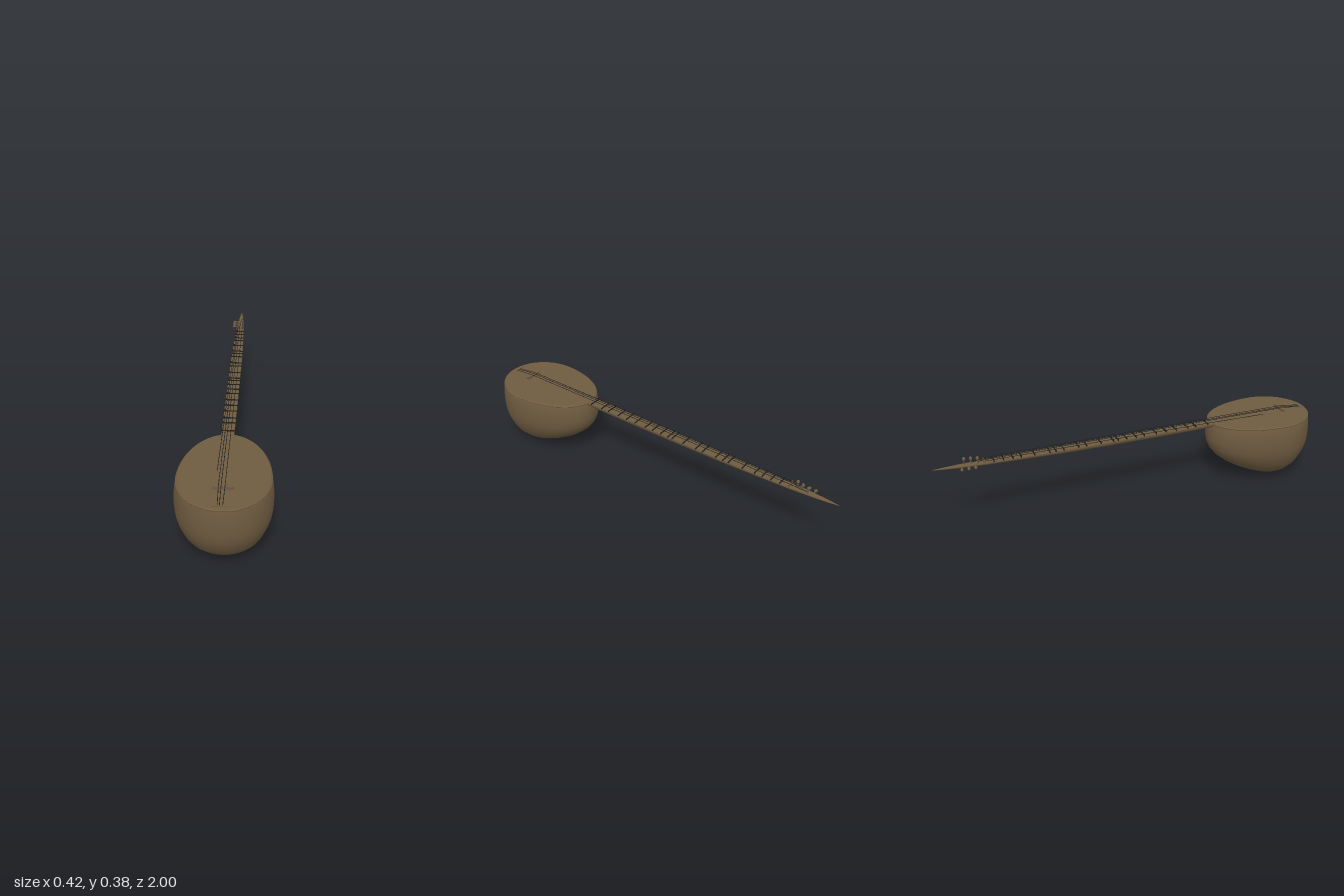
import * as THREE from 'three';
import { toCreasedNormals } from 'three/addons/utils/BufferGeometryUtils.js';

const wood = new THREE.MeshStandardMaterial({ color: 0x6e5b40 });
wood.name = 'brown wood';
const dark = new THREE.MeshStandardMaterial({ color: 0x1e1e1e });
dark.name = 'dark string';

// Skin a list of closed rings (each counterclockwise seen from the first end) and cap both ends.
function loft(rings, crease = 0.7) {
  const n = rings[0].length, pos = [], idx = [];
  rings.forEach(r => r.forEach(p => pos.push(...p)));
  for (let i = 0; i < rings.length - 1; i++) {
    for (let j = 0; j < n; j++) {
      const a = i * n + j, b = i * n + (j + 1) % n, c = a + n, d = b + n;
      idx.push(c, d, b, c, b, a);
    }
  }
  const cap = (start, flip) => {
    const centre = pos.length / 3, sum = [0, 0, 0];
    for (let j = 0; j < n; j++) for (let k = 0; k < 3; k++) sum[k] += pos[(start + j) * 3 + k] / n;
    pos.push(...sum);
    for (let j = 0; j < n; j++) {
      const a = start + j, b = start + (j + 1) % n;
      idx.push(centre, flip ? b : a, flip ? a : b);
    }
  };
  cap(0, false);
  cap((rings.length - 1) * n, true);
  const g = new THREE.BufferGeometry();
  g.setAttribute('position', new THREE.Float32BufferAttribute(pos, 3));
  g.setIndex(idx);
  return toCreasedNormals(g, crease);
}

// Egg outline: blunt toward +z, longer toward the neck.
function eggRing(y, back, front, w) {
  const mid = back + (front - back) * 0.6, ring = [];
  for (let j = 0; j < 64; j++) {
    const t = j / 64 * Math.PI * 2, c = Math.cos(t);
    ring.push([w * Math.sin(t), y, mid + c * (c > 0 ? front - mid : mid - back)]);
  }
  return ring;
}

// Neck section: flat fingerboard on top, half-round underneath.
function neckRing(z, w, depth) {
  const ring = [], top = 0.347;
  for (let j = 0; j <= 16; j++) {
    const t = Math.PI + j / 16 * Math.PI;
    ring.push([-0.005 + w * Math.cos(t), top - 0.125 * w + depth * Math.sin(t), z]);
  }
  ring.push([-0.005 + w * 0.94, top, z], [-0.005 - w * 0.94, top, z]);
  return ring;
}

export function createModel() {
  const model = new THREE.Group();
  model.name = 'longNeckedLute';
  const add = (name, geo, material, x = 0, y = 0, z = 0, parent = model) => {
    const m = new THREE.Mesh(geo, material);
    m.name = name;
    m.position.set(x, y, z);
    parent.add(m);
    return m;
  };
  const group = name => {
    const g = new THREE.Group();
    g.name = name;
    model.add(g);
    return g;
  };

  // Deep bowl: height, neck end, tail end, half width
  add('bowl', loft([
    [0.34, 0.43, 0.992, 0.2], [0.32, 0.424, 0.996, 0.206], [0.29, 0.421, 0.999, 0.21],
    [0.25, 0.42, 1.0, 0.212], [0.21, 0.429, 0.999, 0.21], [0.18, 0.445, 0.993, 0.205],
    [0.15, 0.469, 0.983, 0.196], [0.11, 0.518, 0.962, 0.178], [0.08, 0.568, 0.939, 0.159],
    [0.05, 0.627, 0.908, 0.131], [0.025, 0.685, 0.874, 0.096], [0.008, 0.73, 0.836, 0.058],
    [0, 0.755, 0.805, 0.022]
  ].map(r => eggRing(...r))), wood);

  // Soundboard with a bevelled rim
  add('soundboard', loft([
    eggRing(0.348, 0.431, 0.988, 0.196), eggRing(0.343, 0.425, 0.994, 0.203),
    eggRing(0.339, 0.427, 0.992, 0.2)
  ], 0.4), wood);

  // Neck tapering to a pointed head: position, half width, depth
  add('neck', loft([
    [0.45, 0.03, 0.026], [0.2, 0.031, 0.028], [-0.1, 0.031, 0.028], [-0.4, 0.03, 0.024],
    [-0.6, 0.026, 0.019], [-0.77, 0.021, 0.014], [-0.88, 0.014, 0.01],
    [-0.95, 0.008, 0.006], [-1, 0.001, 0.001]
  ].map(r => neckRing(...r))), wood);

  // Tied frets with a small knot at the side
  const frets = group('frets');
  [0.4, 0.33, 0.285, 0.22, 0.165, 0.11, 0.045, 0, -0.05, -0.095, -0.12, -0.185,
    -0.26, -0.3, -0.375, -0.415, -0.445, -0.52, -0.585, -0.625, -0.67, -0.715].forEach(z => {
    const w = z < -0.4 ? 0.061 - (-0.4 - z) * 0.045 : 0.064;
    add('fret', new THREE.BoxGeometry(w, 0.006, 0.005), dark, -0.005, 0.348, z, frets);
    add('fretKnot', new THREE.BoxGeometry(0.006, 0.01, 0.005), dark, -0.005 - w * 0.4, 0.352, z, frets);
  });

  // Nut, bridge and tailpiece
  add('nut', new THREE.BoxGeometry(0.04, 0.014, 0.006), wood, -0.005, 0.353, -0.76);
  add('bridge', new THREE.BoxGeometry(0.085, 0.013, 0.015), wood, 0.001, 0.3545, 0.848);
  add('tailpiece', new THREE.BoxGeometry(0.06, 0.004, 0.008), wood, -0.008, 0.349, 0.966);

  // Strings run from the pegs over nut and bridge to the tail
  const strings = group('strings');
  const addString = (name, points, radius) => {
    for (let k = 0; k < points.length - 1; k++) {
      const line = new THREE.LineCurve3(new THREE.Vector3(...points[k]), new THREE.Vector3(...points[k + 1]));
      add(name, new THREE.TubeGeometry(line, 1, radius, 6), dark, 0, 0, 0, strings);
    }
  };
  [-0.017, -0.006, 0.01].forEach((x, i) => addString('string', [
    [x * 0.8, 0.35, 0.964], [x, 0.362, 0.848], [x * 0.9 - 0.001, 0.361, -0.76],
    [-0.014 + i * 0.008, 0.354, -0.79 - i * 0.03]
  ], 0.0014));
  addString('sideString', [[-0.031, 0.35, 0.73], [-0.029, 0.353, 0.4], [-0.02, 0.355, -0.76]], 0.0014);

  // Tuning pegs: lathe-turned, three upright and three to the side
  const pegGeo = new THREE.LatheGeometry([
    [0, 0], [0.003, 0], [0.0025, 0.022], [0.004, 0.025], [0.0075, 0.031],
    [0.0075, 0.036], [0.005, 0.042], [0, 0.044]
  ].map(p => new THREE.Vector2(...p)), 12);
  const pegs = group('tuningPegs');
  for (let i = 0; i < 3; i++) {
    add('topPeg', pegGeo, wood, -0.014 + i * 0.008, 0.34, -0.79 - i * 0.03, pegs);
    const side = add('sidePeg', pegGeo, wood, -0.008, 0.342, -0.805 - i * 0.032, pegs);
    side.rotation.z = Math.PI / 2;
  }
  return model;
}
